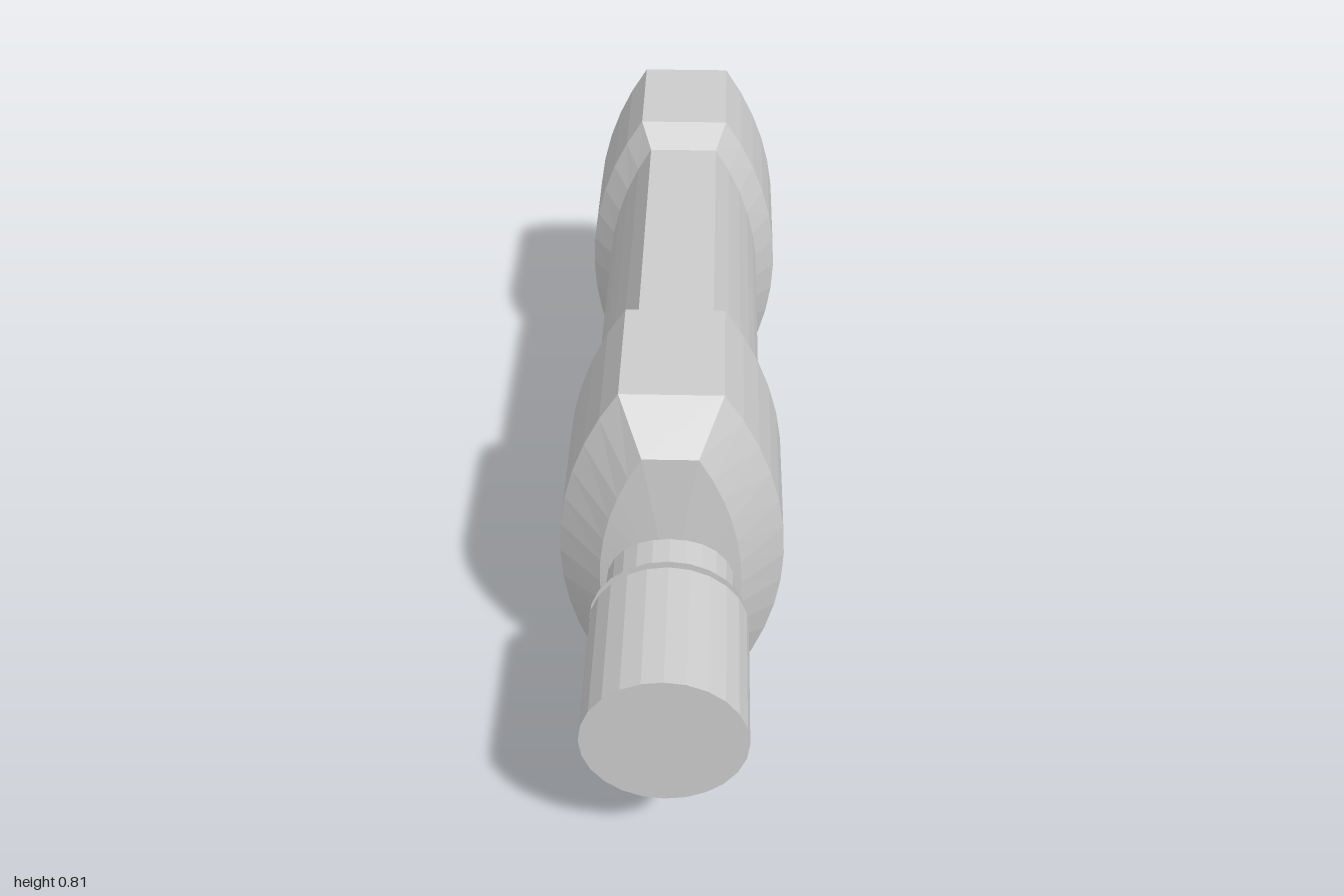
import * as THREE from 'three';

const MID = 0.4075; // height of the long axis
const ARC = 12; // facets on each bulging side

// Barrel-shaped outline, pulled inwards evenly by `inset`, counter-clockwise from the front
function outline(inset, z) {
  const h = MID - inset, r = 0.708 - inset, cx = 0.232 - 0.708;
  const a = Math.asin(h / r);
  const pts = [];
  for (const s of [1, -1]) {
    for (let i = 0; i <= ARC; i++) {
      const t = -a + (2 * a * i) / ARC;
      pts.push(new THREE.Vector3(s * (cx + r * Math.cos(t)), MID + s * r * Math.sin(t), z));
    }
  }
  return pts;
}

// Skin between successive outlines, closed by a fan at each end
function loft(rings, backZ, frontZ) {
  const pos = [];
  const tri = (...v) => v.forEach((p) => pos.push(p.x, p.y, p.z));
  const n = rings[0].length;
  const back = new THREE.Vector3(0, MID, backZ);
  const front = new THREE.Vector3(0, MID, frontZ);
  const last = rings[rings.length - 1];
  for (let i = 0; i < n; i++) {
    const j = (i + 1) % n;
    for (let k = 0; k < rings.length - 1; k++) {
      const a = rings[k], b = rings[k + 1];
      tri(a[i], a[j], b[j]);
      tri(a[i], b[j], b[i]);
    }
    tri(back, rings[0][j], rings[0][i]);
    tri(front, last[i], last[j]);
  }
  const g = new THREE.BufferGeometry();
  g.setAttribute('position', new THREE.Float32BufferAttribute(pos, 3));
  g.computeVertexNormals();
  return g;
}

export function createModel() {
  const group = new THREE.Group();
  const mat = new THREE.MeshStandardMaterial({ color: 0xcccccc, flatShading: true });
  const thin = new THREE.MeshStandardMaterial({ color: 0xcccccc, side: THREE.DoubleSide });
  const add = (name, geometry, material = mat) => {
    const m = new THREE.Mesh(geometry, material);
    m.name = name;
    group.add(m);
    return m;
  };

  // Grip with two thick chamfered ends; the front face rises to a shallow point
  const stations = [
    [0.088, -1], [0, -0.91], [0, -0.625], [0.045, -0.565],
    [0.045, 0.135], [0, 0.195], [0, 0.485], [0.088, 0.575],
  ];
  add('grip', loft(stations.map(([inset, z]) => outline(inset, z)), -1, 0.6));

  // Round stem parts along the axis
  const rod = (name, r, z0, z1) => {
    const g = new THREE.CylinderGeometry(r, r, z1 - z0, 24);
    g.rotateX(Math.PI / 2);
    add(name, g).position.set(0, MID, (z0 + z1) / 2);
  };
  rod('neck', 0.13, 0.56, 0.71);
  rod('stemHead', 0.158, 0.702, 1);

  // Thin washer just behind the stem head
  add('washer', new THREE.RingGeometry(0.128, 0.158, 24), thin).position.set(0, MID, 0.686);

  return group;
}
